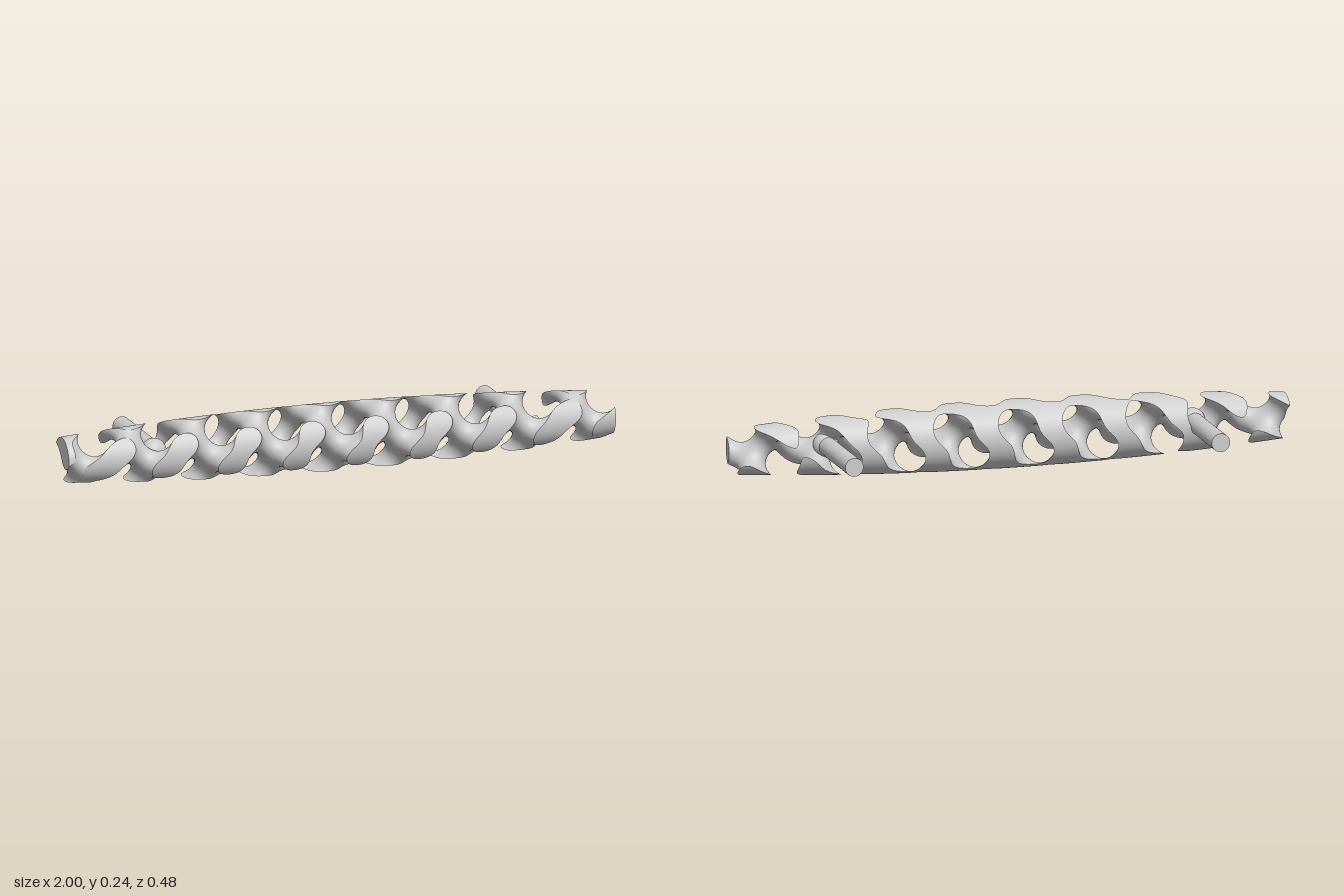
import * as THREE from 'three';

const C = 0.12;                        // height and depth of the bar's axis
const K = (2 * Math.PI) / 0.2325;      // lattice frequency
const LEVEL = -0.42;                   // lattice thickness
const NX = 250, N = 22;                // grid along and across the bar
const { sin, cos, sqrt, PI } = Math;

const phase = (p) => [PI + K * (p.x - 0.084), K * (p.y - 0.178), -PI / 2 + K * (p.z - C)];

// Gyroid: solid where the value is negative
function field(p) {
  const [X, Y, Z] = phase(p);
  return sin(X) * cos(Y) + sin(Y) * cos(Z) + sin(Z) * cos(X) - LEVEL;
}

function latticeNormal(p) {
  const [X, Y, Z] = phase(p);
  return new THREE.Vector3(
    cos(X) * cos(Y) - sin(Z) * sin(X),
    cos(Y) * cos(Z) - sin(X) * sin(Y),
    cos(Z) * cos(X) - sin(Y) * sin(Z)).normalize();
}

// Barrel that trims the lattice
const radius = (x) => 0.12 - 0.04 * x * x;
const barrelNormal = (p) => {
  const r = Math.hypot(p.y - C, p.z - C);
  return new THREE.Vector3(0.08 * p.x, (p.y - C) / r, (p.z - C) / r).normalize();
};

// Collects triangles, turning each to agree with its surface normal
function surfaceBuilder() {
  const pos = [], nor = [];
  const ab = new THREE.Vector3(), ac = new THREE.Vector3();
  return {
    add(poly, normalAt) {
      for (let i = 1; i + 1 < poly.length; i++) {
        let t = [poly[0], poly[i], poly[i + 1]];
        const n = t.map(normalAt);
        ab.subVectors(t[1], t[0]);
        ac.subVectors(t[2], t[0]);
        ab.cross(ac);
        if (ab.lengthSq() < 1e-18) continue;
        const order = ab.dot(n[0]) + ab.dot(n[1]) + ab.dot(n[2]) < 0 ? [0, 2, 1] : [0, 1, 2];
        for (const o of order) {
          pos.push(t[o].x, t[o].y, t[o].z);
          nor.push(n[o].x, n[o].y, n[o].z);
        }
      }
    },
    build() {
      const g = new THREE.BufferGeometry();
      g.setAttribute('position', new THREE.Float32BufferAttribute(pos, 3));
      g.setAttribute('normal', new THREE.Float32BufferAttribute(nor, 3));
      return g;
    },
  };
}

// Point where the lattice surface crosses the edge a-b
const crossing = (a, b) => a.p.clone().lerp(b.p, a.f / (a.f - b.f));

function latticeGeometry() {
  // Grid of sample points, bent from a square section to the round barrel
  const grid = [];
  for (let i = 0; i <= NX; i++) {
    for (let j = 0; j <= N; j++) {
      for (let k = 0; k <= N; k++) {
        const x = -1 + (2 * i) / NX, r = radius(x);
        const u = -1 + (2 * j) / N, v = -1 + (2 * k) / N;
        const p = new THREE.Vector3(x, C + r * u * sqrt(1 - v * v / 2), C + r * v * sqrt(1 - u * u / 2));
        grid.push({ p, f: field(p) });
      }
    }
  }
  const at = (c) => grid[(c[0] * (N + 1) + c[1]) * (N + 1) + c[2]];
  const step = (c, axis) => c.map((v, i) => (i === axis ? v + 1 : v));
  const out = surfaceBuilder();

  // Inner lattice surface: six tetrahedra per cell
  const paths = [[0, 1, 2], [0, 2, 1], [1, 0, 2], [1, 2, 0], [2, 0, 1], [2, 1, 0]];
  for (let i = 0; i < NX; i++) {
    for (let j = 0; j < N; j++) {
      for (let k = 0; k < N; k++) {
        for (const path of paths) {
          let c = [i, j, k];
          const tet = [at(c)];
          for (const axis of path) tet.push(at(c = step(c, axis)));
          const a = tet.filter((q) => q.f < 0), b = tet.filter((q) => q.f >= 0);
          if (!a.length || !b.length) continue;
          const edges = a.length === 2
            ? [[a[0], b[0]], [a[0], b[1]], [a[1], b[1]], [a[1], b[0]]]
            : a.flatMap((q) => b.map((s) => [q, s]));
          out.add(edges.map(([q, s]) => crossing(q, s)), latticeNormal);
        }
      }
    }
  }

  // Trimmed outer skin: barrel sides and flat ends, cut by the lattice
  const skin = (c, s, t, normalAt) => {
    const a = at(c), b = at(step(c, s)), d = at(step(c, t)), e = at(step(step(c, s), t));
    for (const tri of [[a, b, e], [a, e, d]]) {
      const poly = [];
      tri.forEach((q, m) => {
        const next = tri[(m + 1) % 3];
        if (q.f < 0) poly.push(q.p);
        if ((q.f < 0) !== (next.f < 0)) poly.push(crossing(q, next));
      });
      out.add(poly, normalAt);
    }
  };
  for (let j = 0; j < N; j++) {
    for (const side of [0, N]) {
      for (let i = 0; i < NX; i++) {
        skin([i, j, side], 0, 1, barrelNormal);
        skin([i, side, j], 0, 2, barrelNormal);
      }
    }
    for (let k = 0; k < N; k++) {
      skin([0, j, k], 1, 2, () => new THREE.Vector3(-1, 0, 0));
      skin([NX, j, k], 1, 2, () => new THREE.Vector3(1, 0, 0));
    }
  }
  return out.build();
}

export function createModel() {
  const model = new THREE.Group();
  model.name = 'latticeHandle';
  const material = new THREE.MeshStandardMaterial({ color: 0xcccccc });
  const add = (name, geometry, x = 0, y = 0, z = 0) => {
    const mesh = new THREE.Mesh(geometry, material);
    mesh.name = name;
    mesh.position.set(x, y, z);
    model.add(mesh);
  };

  add('latticeBar', latticeGeometry());

  // Mounting pegs with ball ends set into the bar
  const front = 0.115, back = -0.24;
  const peg = new THREE.CylinderGeometry(0.033, 0.033, front - back, 40).rotateX(PI / 2);
  const ball = new THREE.SphereGeometry(0.045, 40, 24);
  for (const [side, x] of [['left', 0.663], ['right', -0.663]]) {
    add(side + 'Peg', peg, x, 0.123, (front + back) / 2);
    add(side + 'PegBall', ball, x, 0.123, front);
  }
  return model;
}
